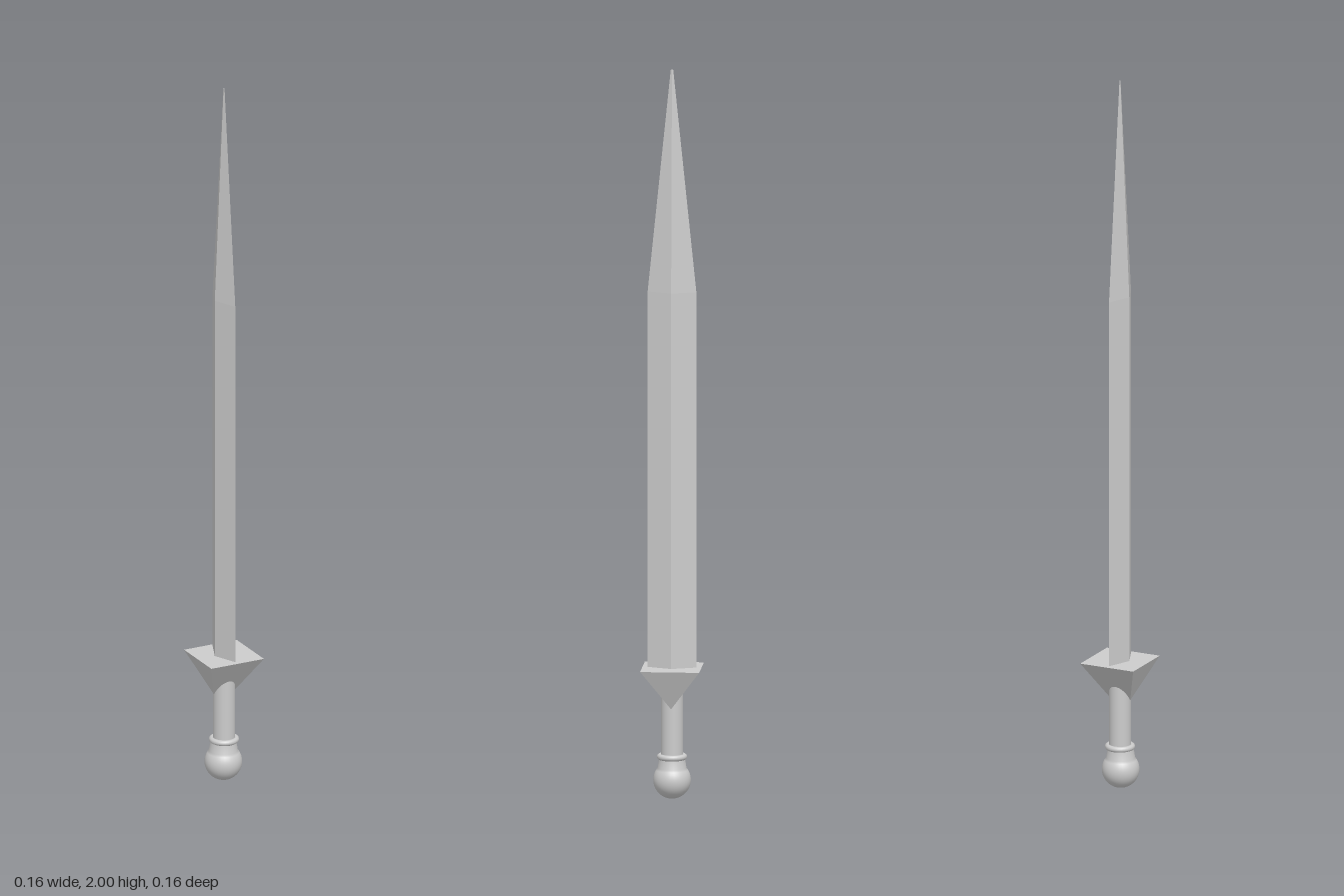
import * as THREE from 'three';

const smooth = new THREE.MeshStandardMaterial({ color: 0xcccccc });
const flat = new THREE.MeshStandardMaterial({ color: 0xcccccc, flatShading: true });

function add(parent, name, geometry, material) {
  const mesh = new THREE.Mesh(geometry, material);
  mesh.name = name;
  parent.add(mesh);
  return mesh;
}

// Four-sided diamond section, broad along z and thin along x
function diamond(topScale, y0, y1, openEnded) {
  const g = new THREE.CylinderGeometry(topScale, 1, y1 - y0, 4, 1, openEnded);
  g.scale(0.028, 1, 0.066).translate(0, (y0 + y1) / 2, 0);
  const faceted = g.toNonIndexed();
  faceted.computeVertexNormals();
  return faceted;
}

export function createModel() {
  const sword = new THREE.Group();
  sword.name = 'sword';

  // Blade: straight diamond bar and long tapering point
  const blade = new THREE.Group();
  blade.name = 'blade';
  sword.add(blade);
  add(blade, 'bladeBody', diamond(1, 0.34, 1.39, true), flat);
  add(blade, 'bladePoint', diamond(0.05, 1.39, 2, false), flat);

  // Guard: square top narrowing to a short ridge along x
  const guardGeo = new THREE.BoxGeometry(0.16, 0.11, 0.16).toNonIndexed();
  const p = guardGeo.attributes.position;
  for (let i = 0; i < p.count; i++) {
    if (p.getY(i) < 0) {
      p.setX(i, Math.sign(p.getX(i)) * 0.031);
      p.setZ(i, 0);
    }
  }
  guardGeo.translate(0, 0.305, 0);
  guardGeo.computeVertexNormals();
  add(sword, 'guard', guardGeo, flat);

  // Grip: plain round handle running up into the guard
  const grip = add(sword, 'grip', new THREE.CylinderGeometry(0.03, 0.03, 0.22, 32), smooth);
  grip.position.y = 0.21;

  // Pommel: ball drawn up into a short neck
  const profile = [];
  for (let i = 0; i <= 16; i++) {
    const a = -Math.PI / 2 + (i / 16) * Math.PI * 0.72;
    profile.push(new THREE.Vector2(Math.max(0, Math.cos(a) * 0.051), 0.051 + Math.sin(a) * 0.051));
  }
  profile.push(new THREE.Vector2(0.036, 0.105), new THREE.Vector2(0.034, 0.115));
  const pommel = add(sword, 'pommel', new THREE.LatheGeometry(profile, 32), smooth);
  pommel.position.x = -0.002;

  // Collar: thin rounded ring between pommel and grip
  const collar = add(sword, 'collar', new THREE.TorusGeometry(0.033, 0.008, 10, 32), smooth);
  collar.rotation.x = Math.PI / 2;
  collar.position.y = 0.115;

  return sword;
}
